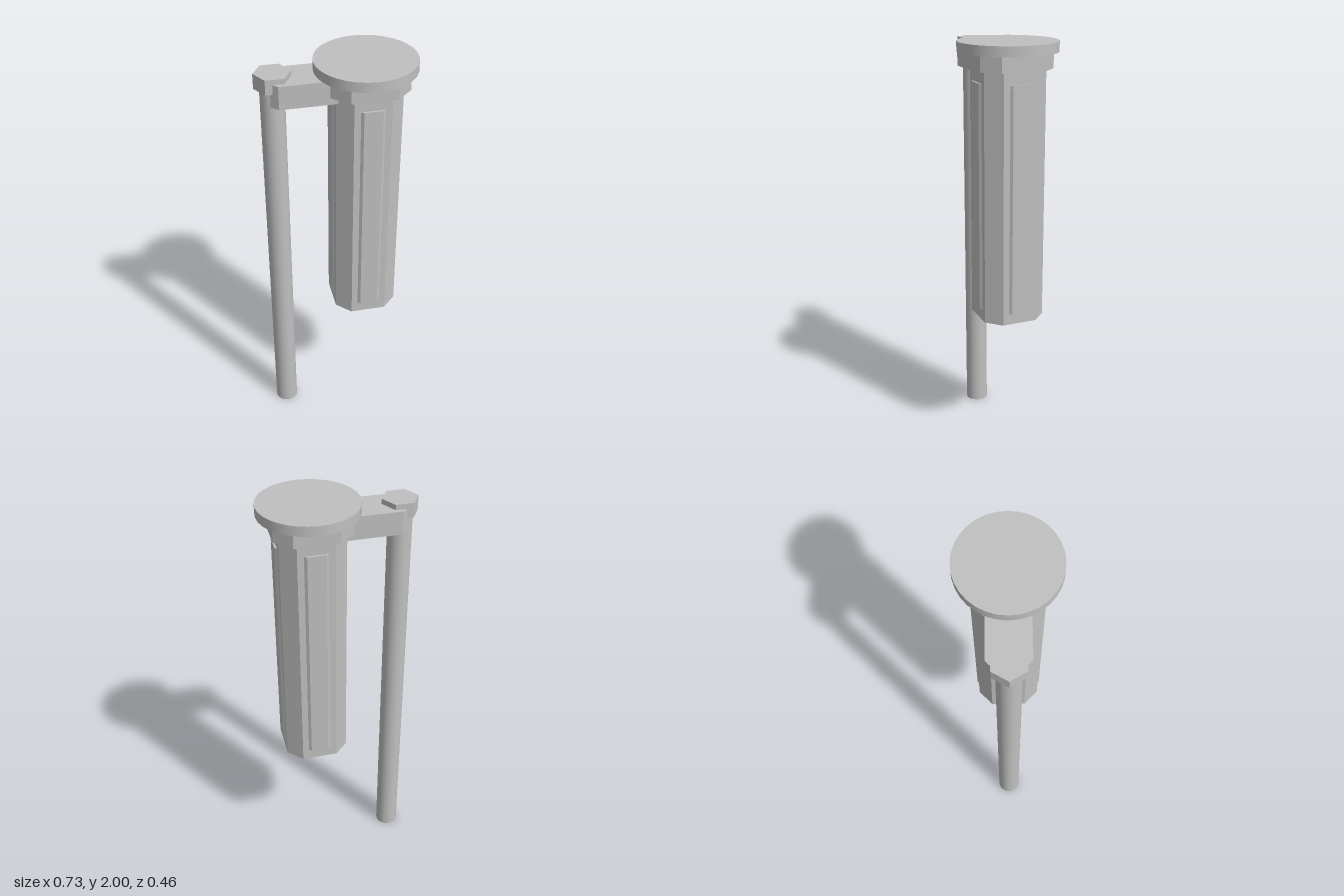
import * as THREE from 'three';

const metal = new THREE.MeshStandardMaterial({ color: 0xc0c0c0 });
metal.name = 'grey metal';

// Upright prism with the [x, z] outline given, from height y0 to y1.
function prism(name, points, y0, y1) {
  const shape = new THREE.Shape(points.map(([x, z]) => new THREE.Vector2(x, -z)));
  const geometry = new THREE.ExtrudeGeometry(shape, { depth: y1 - y0, bevelEnabled: false });
  geometry.rotateX(-Math.PI / 2);
  const mesh = new THREE.Mesh(geometry, metal);
  mesh.name = name;
  mesh.position.y = y0;
  return mesh;
}

// Square outline with cut corners: half width h, half flat length f.
const cutSquare = (h, f) => [
  [h, f], [h, -f], [f, -h], [-f, -h], [-h, -f], [-h, f], [-f, h], [f, h],
];

function cylinder(name, radius, y0, y1, segments) {
  const geometry = new THREE.CylinderGeometry(radius, radius, y1 - y0, segments);
  const mesh = new THREE.Mesh(geometry, metal);
  mesh.name = name;
  mesh.position.y = (y0 + y1) / 2;
  return mesh;
}

export function createModel() {
  const model = new THREE.Group();
  model.name = 'hinged rod tool';

  // Eight-sided body with collar and round cap
  const handle = new THREE.Group();
  handle.name = 'handle';
  handle.position.x = 0.131;
  handle.add(prism('body', cutSquare(0.152, 0.085), 0.68, 1.885));
  handle.add(prism('collar', cutSquare(0.178, 0.105), 1.88, 1.956));
  handle.add(cylinder('cap', 0.232, 1.953, 2, 32));

  // Raised panels with sloping sides on the four broad faces
  const section = [[-0.055, 0.148], [-0.055, 0.152], [-0.043, 0.162],
    [0.043, 0.162], [0.055, 0.152], [0.055, 0.148]];
  for (let i = 0; i < 4; i++) {
    const panel = prism('panel', section, 0.735, 1.823);
    panel.rotation.y = i * Math.PI / 2;
    handle.add(panel);
  }
  model.add(handle);

  // Arm with cut corners at the outer end
  model.add(prism('arm', [[0.05, 0.094], [0.05, -0.094], [-0.27, -0.094],
    [-0.3, -0.064], [-0.3, 0.064], [-0.27, 0.094]], 1.842, 1.952));

  // Long rod hanging from the arm
  const rod = cylinder('rod', 0.056, 0, 1.91, 24);
  rod.position.x = -0.284;
  model.add(rod);

  // Hexagonal bolt head above the rod
  const hexagon = Array.from({ length: 6 }, (_, i) => {
    const a = i * Math.PI / 3;
    return [0.084 * Math.cos(a), 0.084 * Math.sin(a)];
  });
  const bolt = prism('boltHead', hexagon, 1.906, 1.976);
  bolt.position.x = -0.281;
  model.add(bolt);

  return model;
}
